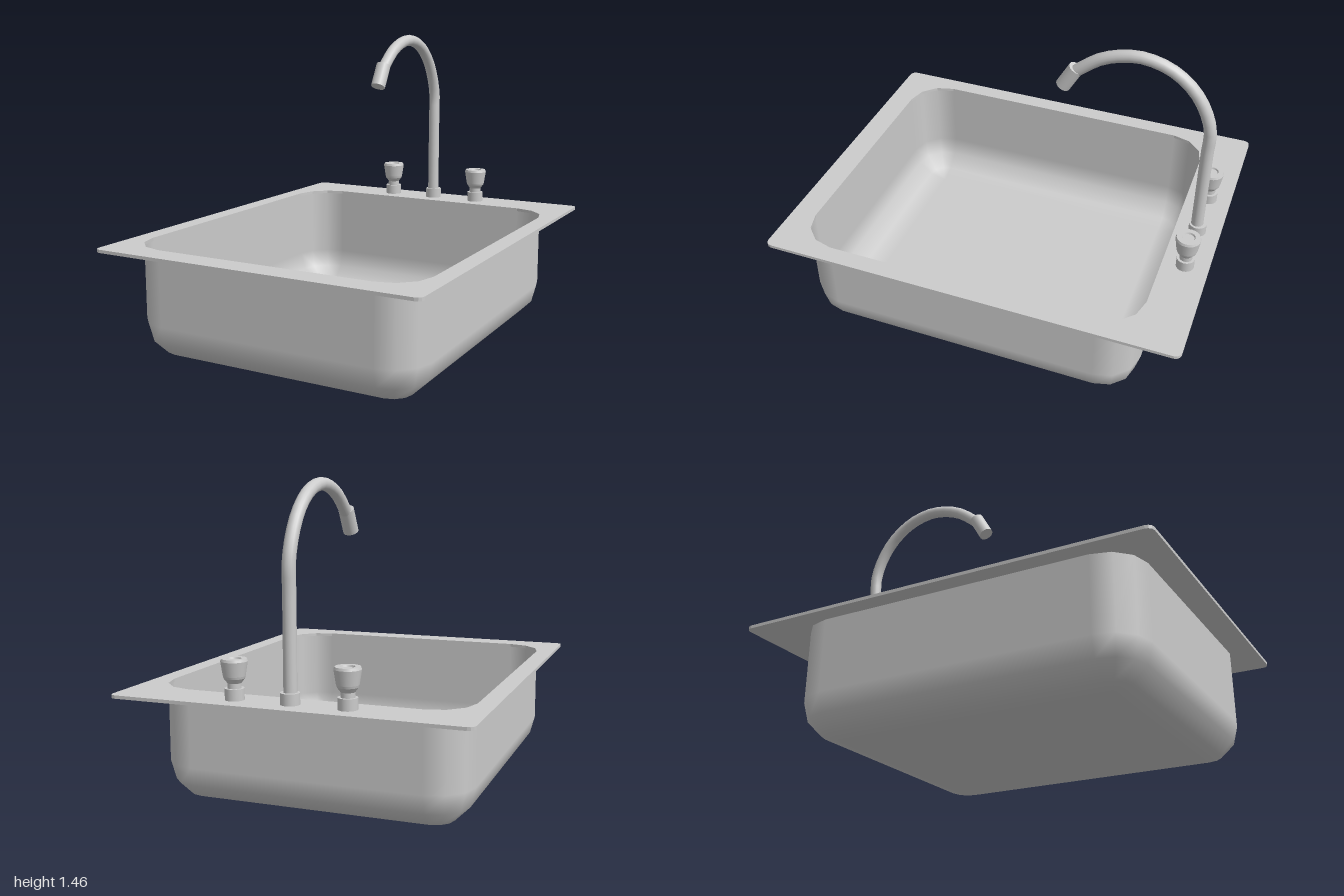
import * as THREE from 'three';

const material = new THREE.MeshStandardMaterial({ color: 0xcccccc, side: THREE.DoubleSide });
const RIM_TOP = 0.54, RIM_BOTTOM = 0.525, TAP_Z = -0.89;
const BASIN = { hx: 0.72, z0: -0.785, z1: 0.88, r: 0.18, steps: 3 };

function addMesh(parent, name, geometry) {
  const mesh = new THREE.Mesh(geometry, material);
  mesh.name = name;
  parent.add(mesh);
  return mesh;
}

// Rounded rectangle in plan: corner centre plus outward direction for each point
function roundedOutline({ hx, z0, z1, r, steps }) {
  const points = [];
  const corners = [[hx - r, z1 - r], [r - hx, z1 - r], [r - hx, z0 + r], [hx - r, z0 + r]];
  corners.forEach(([cx, cz], q) => {
    for (let i = 0; i <= steps; i++) {
      const a = (q + i / steps) * Math.PI / 2;
      points.push({ cx, cz, dx: Math.cos(a), dz: Math.sin(a) });
    }
  });
  return points;
}

const planPoints = (spec) => roundedOutline(spec)
  .map((p) => new THREE.Vector2(p.cx + spec.r * p.dx, p.cz + spec.r * p.dz));

// Flat flange with the basin opening cut out
function rimGeometry() {
  const shape = new THREE.Shape(planPoints({ hx: 0.805, z0: -1, z1: 1, r: 0.03, steps: 3 }));
  shape.holes.push(new THREE.Path(planPoints(BASIN)));
  const geometry = new THREE.ExtrudeGeometry(shape, { depth: RIM_TOP - RIM_BOTTOM, bevelEnabled: false });
  return geometry.rotateX(Math.PI / 2).translate(0, RIM_TOP, 0);
}

// Thin bowl: straight walls, rounded corners and a rounded bottom edge
function basinGeometry() {
  const outline = roundedOutline(BASIN), n = outline.length, { r, steps } = BASIN;
  const positions = [], normals = [], index = [];
  const rows = [{ y: RIM_BOTTOM, t: 0 }];
  for (let i = 0; i <= steps; i++) {
    const t = i / steps * Math.PI / 2;
    rows.push({ y: r - r * Math.sin(t), t });
  }
  rows.forEach(({ y, t }, row) => {
    const c = Math.cos(t);
    outline.forEach((p, i) => {
      positions.push(p.cx + r * c * p.dx, y, p.cz + r * c * p.dz);
      normals.push(c * p.dx, -Math.sin(t), c * p.dz);
      if (row === 0) return;
      const a = (row - 1) * n + i, b = (row - 1) * n + (i + 1) % n;
      index.push(a, b, b + n, a, b + n, a + n);
    });
  });
  // Flat floor
  const base = (rows.length - 1) * n;
  for (let i = 1; i < n - 1; i++) index.push(base, base + i, base + i + 1);
  const geometry = new THREE.BufferGeometry();
  geometry.setAttribute('position', new THREE.Float32BufferAttribute(positions, 3));
  geometry.setAttribute('normal', new THREE.Float32BufferAttribute(normals, 3));
  geometry.setIndex(index);
  return geometry;
}

// Collar that passes through the rim
function addCollar(parent) {
  const height = 0.59 - RIM_BOTTOM + 0.002;
  addMesh(parent, 'collar', new THREE.CylinderGeometry(0.042, 0.042, height, 20))
    .position.y = 0.59 - height / 2;
}

// Turning knob, lathed in sharp-edged sections
function createHandle(name, x) {
  const handle = new THREE.Group();
  handle.name = name;
  handle.position.set(x, 0, TAP_Z);
  addCollar(handle);
  const profile = [[0.03, 0.585], [0.03, 0.612], [0.045, 0.632], [0.048, 0.642],
    [0.058, 0.705], [0.054, 0.716], [0.031, 0.716], [0.028, 0.708], [0, 0.708]];
  for (let i = 0; i < profile.length - 1; i++) {
    const section = profile.slice(i, i + 2).map(([r, y]) => new THREE.Vector2(r, y));
    addMesh(handle, 'knob', new THREE.LatheGeometry(section, 20));
  }
  return handle;
}

// Swan-neck spout with a nozzle at its tip
function createFaucet() {
  const faucet = new THREE.Group();
  faucet.name = 'faucet';
  const collars = new THREE.Group();
  collars.name = 'faucetBase';
  collars.position.z = TAP_Z;
  addCollar(collars);
  faucet.add(collars);

  const path = [[-0.886, 0.56], [-0.886, 1.0], [-0.886, 1.13], [-0.842, 1.25], [-0.774, 1.34],
    [-0.678, 1.406], [-0.565, 1.435], [-0.474, 1.428], [-0.372, 1.392], [-0.295, 1.338], [-0.24, 1.29]];
  const curve = new THREE.CatmullRomCurve3(path.map(([z, y]) => new THREE.Vector3(0, y, z)));
  addMesh(faucet, 'spout', new THREE.TubeGeometry(curve, 28, 0.029, 16));

  const top = new THREE.Vector3(0, 1.318, -0.255), tip = new THREE.Vector3(0, 1.214, -0.195);
  const axis = top.clone().sub(tip);
  const nozzle = addMesh(faucet, 'nozzle', new THREE.CylinderGeometry(0.036, 0.036, axis.length(), 20));
  nozzle.position.copy(top).add(tip).multiplyScalar(0.5);
  nozzle.quaternion.setFromUnitVectors(new THREE.Vector3(0, 1, 0), axis.normalize());
  return faucet;
}

export function createModel() {
  const sink = new THREE.Group();
  sink.name = 'sink';
  addMesh(sink, 'rim', rimGeometry());
  addMesh(sink, 'basin', basinGeometry());
  sink.add(createFaucet());
  sink.add(createHandle('leftHandle', 0.257), createHandle('rightHandle', -0.257));
  // Handles sit evenly either side of the spout
  for (const name of ['leftHandle', 'rightHandle']) {
    const handle = sink.getObjectByName(name);
    handle.position.x = Math.sign(handle.position.x) * 0.255;
  }
  return sink;
}
